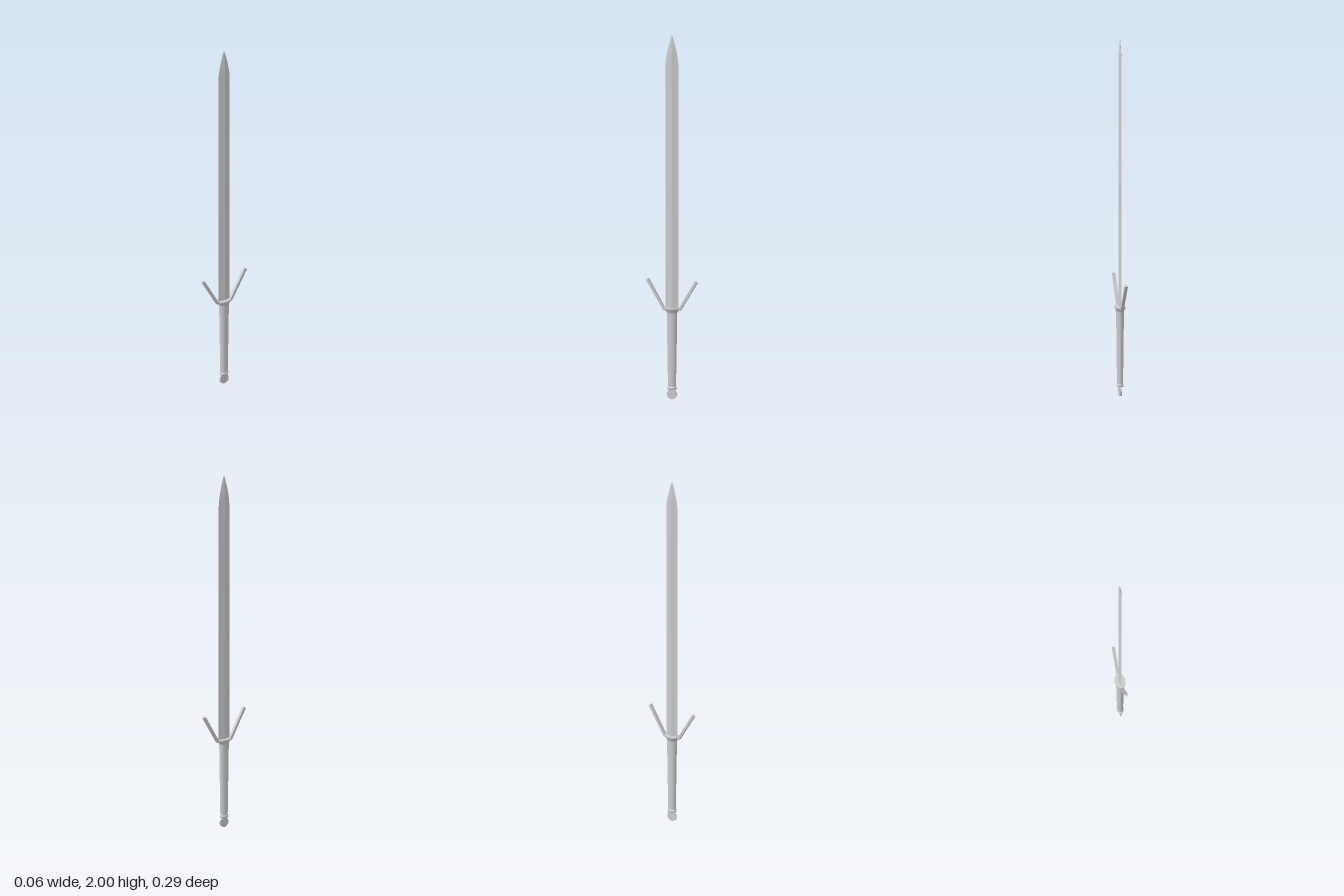
import * as THREE from 'three';

const material = new THREE.MeshStandardMaterial({ color: 0xcccccc });
const flatMaterial = new THREE.MeshStandardMaterial({ color: 0xcccccc, flatShading: true });

function addMesh(parent, name, geometry, mat = material) {
  const mesh = new THREE.Mesh(geometry, mat);
  mesh.name = name;
  parent.add(mesh);
  return mesh;
}

// Hollow-ground diamond blade: the same section swept upward, narrowing to a point
function bladeGeometry() {
  const section = [
    [0, 0.037], [0.0025, 0.024], [0.008, 0], [0.0025, -0.024],
    [0, -0.037], [-0.0025, -0.024], [-0.008, 0], [-0.0025, 0.024],
  ];
  const n = section.length;
  const rings = [[0.49, 1, 1], [1.83, 1, 1]]; // height, width scale, thickness scale
  for (let i = 1; i <= 8; i++) {
    const t = i / 8;
    const width = 1 - Math.pow(t, 1.6);
    rings.push([1.83 + 0.17 * t, width, Math.min(1, width * 1.3)]);
  }
  const positions = [];
  const index = [];
  for (const [y, w, d] of rings) {
    for (const [x, z] of section) positions.push(x * d, y, z * w);
  }
  for (let r = 0; r < rings.length - 1; r++) {
    for (let i = 0; i < n; i++) {
      const a = r * n + i;
      const b = r * n + (i + 1) % n;
      index.push(a, b, b + n, a, b + n, a + n);
    }
  }
  const geometry = new THREE.BufferGeometry();
  geometry.setAttribute('position', new THREE.Float32BufferAttribute(positions, 3));
  geometry.setIndex(index);
  geometry.computeVertexNormals();
  return geometry;
}

// Lathe from [radius, y] pairs, stretched to an oval along z
function ovalLathe(profile) {
  const geometry = new THREE.LatheGeometry(profile.map(([r, y]) => new THREE.Vector2(r, y)), 32);
  geometry.scale(1, 1, 1.4);
  geometry.computeVertexNormals();
  return geometry;
}

// One bent, upswept guard arm, drawn in the side plane and given thickness across x
function guardArmGeometry() {
  const shape = new THREE.Shape();
  shape.moveTo(0.015, 0.486);
  shape.lineTo(0.042, 0.486);
  shape.quadraticCurveTo(0.049, 0.486, 0.053, 0.493);
  shape.lineTo(0.147, 0.647);
  shape.lineTo(0.135, 0.655);
  shape.lineTo(0.045, 0.506);
  shape.quadraticCurveTo(0.041, 0.499, 0.035, 0.499);
  shape.lineTo(0.015, 0.499);
  const geometry = new THREE.ExtrudeGeometry(shape, { depth: 0.016, bevelEnabled: false, curveSegments: 4 });
  geometry.translate(0, 0, -0.008);
  geometry.rotateY(-Math.PI / 2);
  return geometry;
}

export function createModel() {
  const sword = new THREE.Group();
  sword.name = 'sword';

  addMesh(sword, 'blade', bladeGeometry(), flatMaterial);

  // Tapered oval grip
  addMesh(sword, 'grip', ovalLathe([[0.016, 0.065], [0.0185, 0.27], [0.021, 0.48]]));

  // Flared collar under the blade
  addMesh(sword, 'collar', ovalLathe([
    [0.021, 0.474], [0.024, 0.482], [0.027, 0.488], [0.03, 0.494], [0.03, 0.502], [0, 0.502],
  ]), flatMaterial);

  // Rim at the lower end of the grip
  addMesh(sword, 'gripRim', ovalLathe([
    [0, 0.055], [0.017, 0.055], [0.0195, 0.059], [0.0195, 0.064], [0.016, 0.069],
  ]), flatMaterial);

  // Matching arms in front and behind
  const arm = guardArmGeometry();
  addMesh(sword, 'frontGuardArm', arm);
  addMesh(sword, 'backGuardArm', arm).rotation.y = Math.PI;

  // Thin disc pommel
  const pommel = new THREE.CylinderGeometry(0.028, 0.028, 0.008, 32);
  pommel.rotateZ(Math.PI / 2);
  pommel.translate(0, 0.028, 0);
  addMesh(sword, 'pommel', pommel);

  return sword;
}
